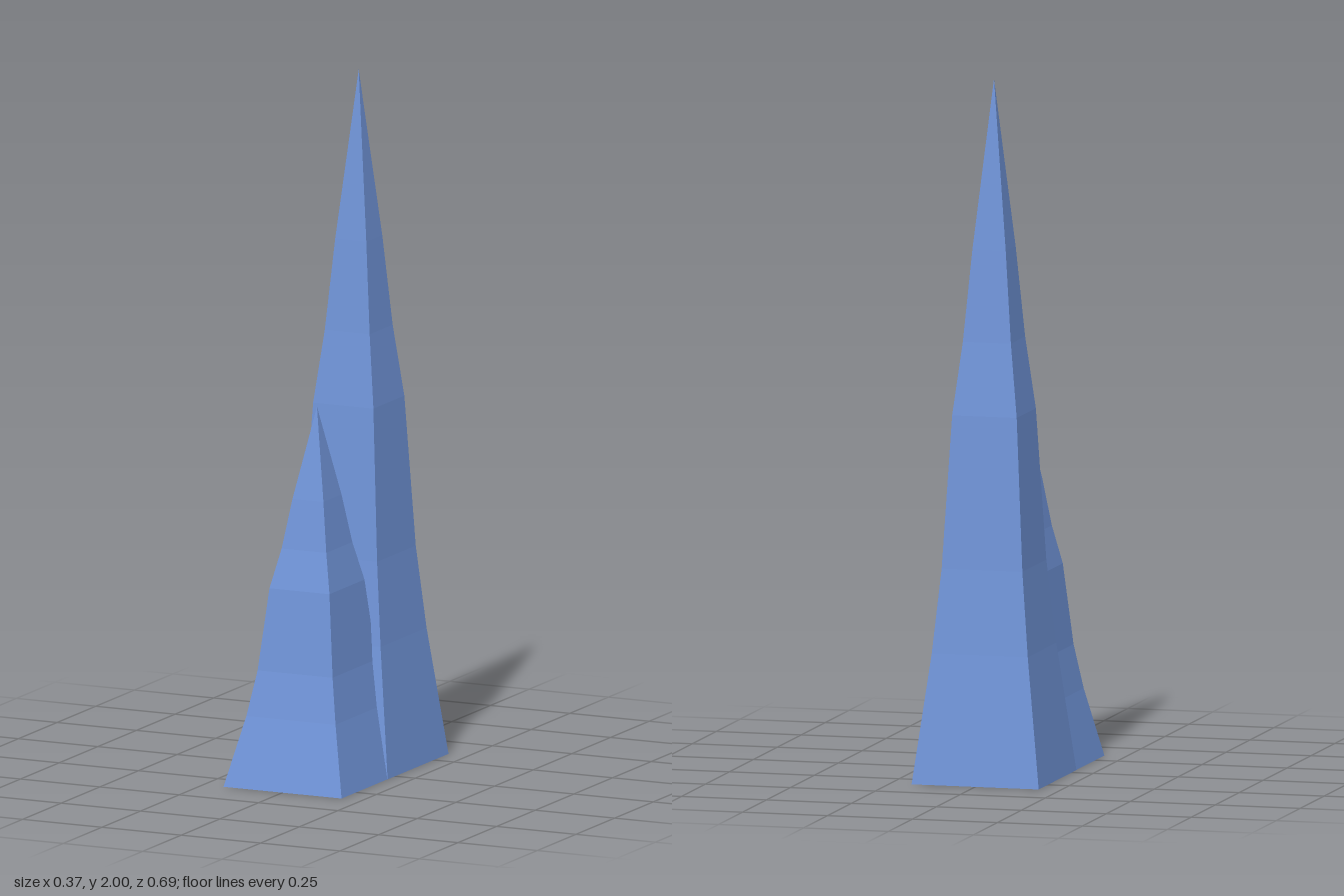
import * as THREE from 'three';

// Shared spire profile: [fraction of half width, fraction of height]
const PROFILE = [[0, 0], [1, 0], [0.755, 0.185], [0.635, 0.305], [0.508, 0.523], [0.378, 0.627], [0.262, 0.758], [0, 1]];

// Four-sided tapering spire with a closed base
function spire(name, halfX, halfZ, height, z, material) {
  const points = PROFILE.map(([r, y]) => new THREE.Vector2(r * Math.SQRT2, y));
  const geometry = new THREE.LatheGeometry(points, 4, Math.PI / 4);
  geometry.scale(halfX, height, halfZ);
  const mesh = new THREE.Mesh(geometry, material);
  mesh.name = name;
  mesh.position.z = z;
  return mesh;
}

export function createModel() {
  const crystalBlue = new THREE.MeshStandardMaterial({ color: 0x7094d8, flatShading: true });
  crystalBlue.name = 'crystal blue';

  const model = new THREE.Group();
  model.name = 'twinSpires';
  model.add(
    spire('tallSpire', 0.187, 0.197, 2, -0.148, crystalBlue),
    spire('shortSpire', 0.186, 0.223, 1.075, 0.122, crystalBlue),
  );
  return model;
}
